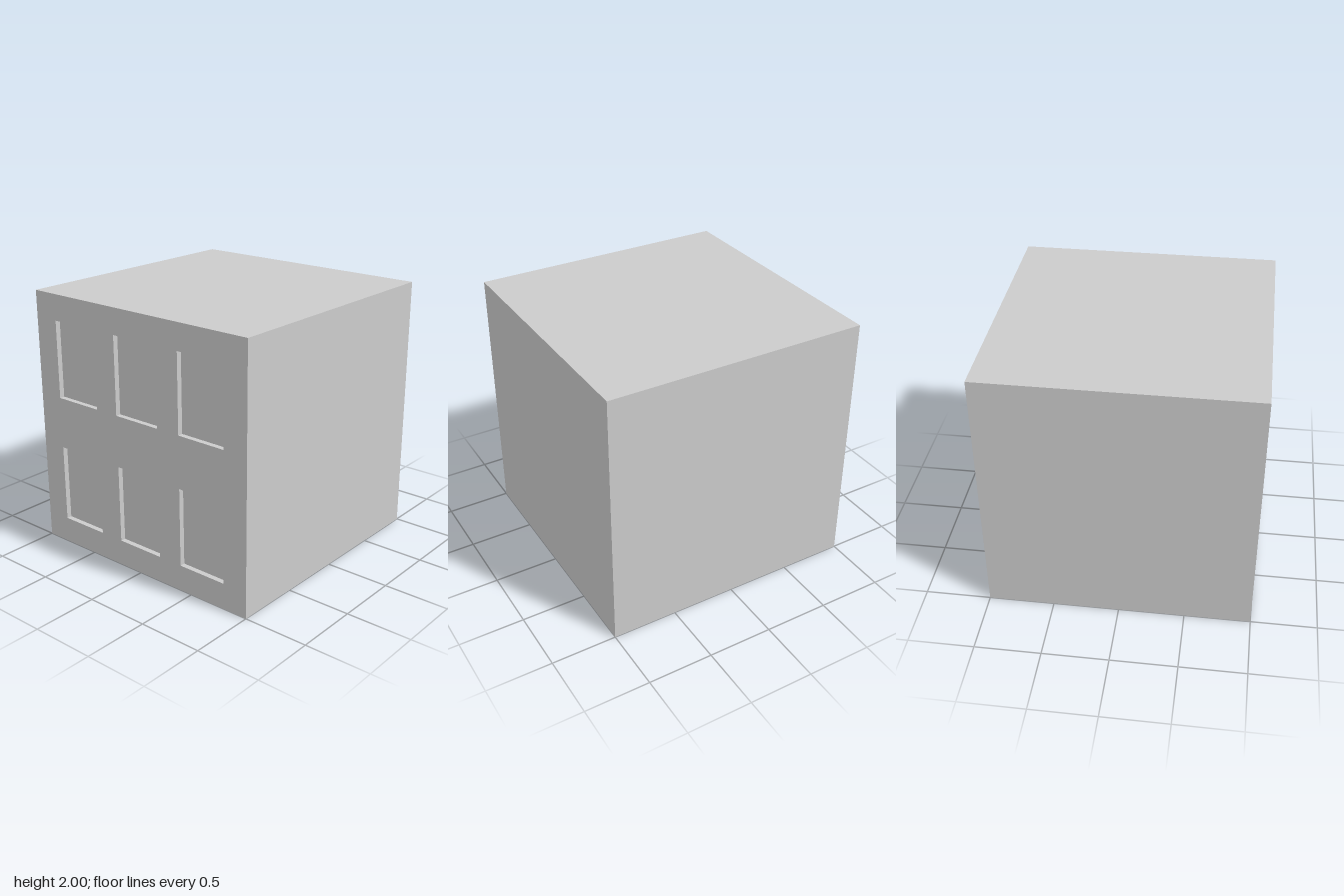
import * as THREE from 'three';

const SIZE = 2, WIN_W = 0.4, WIN_H = 0.6, DEPTH = 0.04;
const material = new THREE.MeshStandardMaterial({ color: 0xcccccc });

// Box without its +z face; inward turns the faces to the inside
function openBox(w, h, d, inward = false) {
  const geometry = new THREE.BoxGeometry(w, h, d);
  const index = Array.from(geometry.index.array);
  index.splice(24, 6);
  if (inward) index.reverse();
  geometry.setIndex(index);
  geometry.clearGroups();
  geometry.computeVertexNormals();
  return geometry;
}

// Rectangle outline centred on x, y
function rectangle(target, x, y, w, h) {
  target.moveTo(x - w / 2, y - h / 2);
  target.lineTo(x + w / 2, y - h / 2);
  target.lineTo(x + w / 2, y + h / 2);
  target.lineTo(x - w / 2, y + h / 2);
  target.closePath();
  return target;
}

export function createModel() {
  const group = new THREE.Group();
  group.name = 'building';
  const add = (name, geometry, x, y, z) => {
    const mesh = new THREE.Mesh(geometry, material);
    mesh.name = name;
    mesh.position.set(x, y, z);
    group.add(mesh);
  };

  // Side walls, back wall, roof and floor
  add('walls', openBox(SIZE, SIZE, SIZE), 0, SIZE / 2, 0);

  // Two rows of three recessed windows, cut out of the front wall
  const front = rectangle(new THREE.Shape(), 0, SIZE / 2, SIZE, SIZE);
  const recess = openBox(WIN_W, WIN_H, DEPTH, true);
  for (const y of [0.5, 1.5]) {
    for (const x of [-0.6, 0, 0.6]) {
      front.holes.push(rectangle(new THREE.Path(), x, y, WIN_W, WIN_H));
      add('windowRecess', recess, x, y, SIZE / 2 - DEPTH / 2);
    }
  }
  add('frontWall', new THREE.ShapeGeometry(front), 0, 0, SIZE / 2);

  return group;
}
